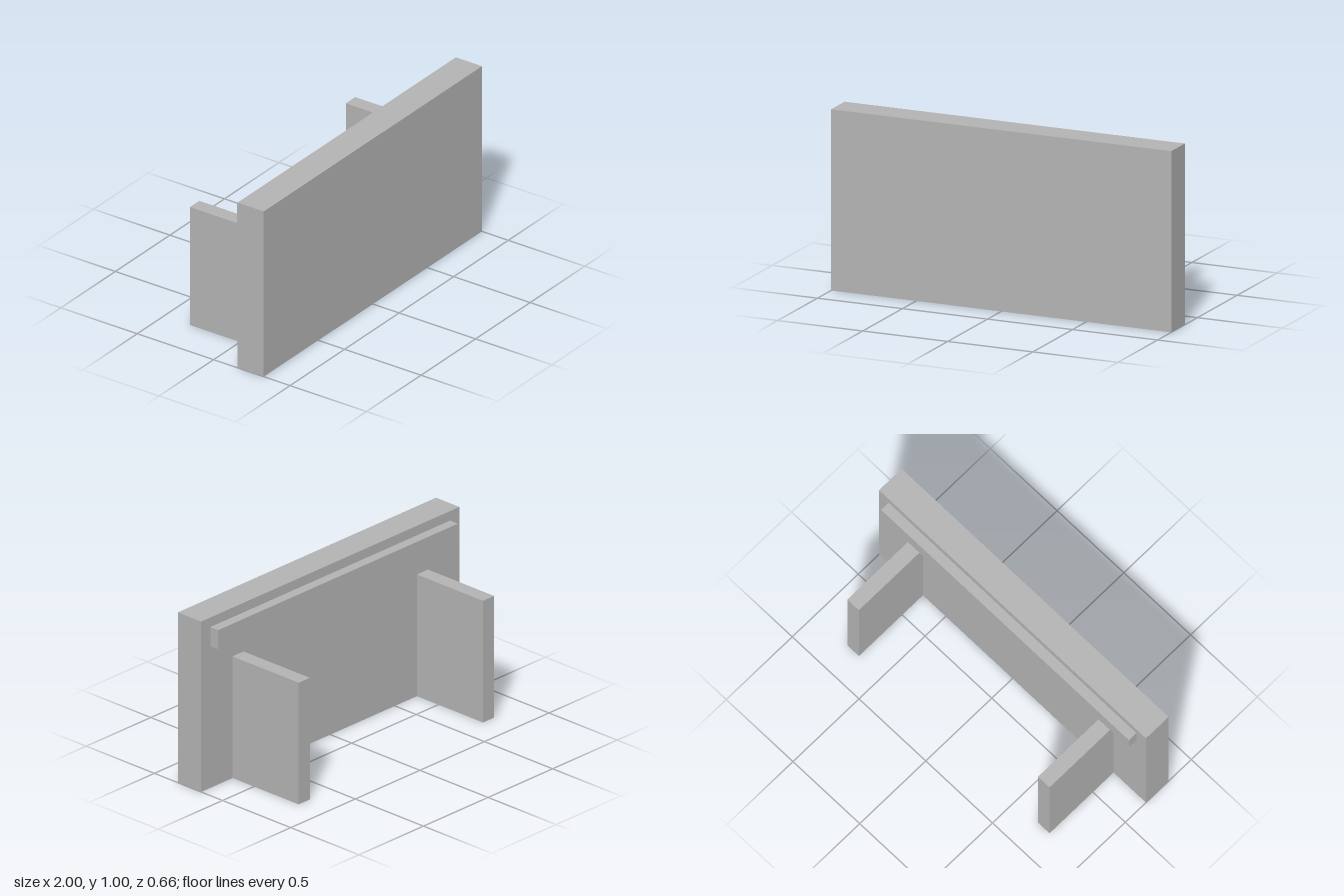
import * as THREE from 'three';

export function createModel() {
  const group = new THREE.Group();
  const grey = new THREE.MeshStandardMaterial({ color: 0xb3b3b3 });
  grey.name = 'plainGrey';

  // Box given by its minimum and maximum corners
  const addBox = (name, [x0, y0, z0], [x1, y1, z1]) => {
    const mesh = new THREE.Mesh(new THREE.BoxGeometry(x1 - x0, y1 - y0, z1 - z0), grey);
    mesh.position.set((x0 + x1) / 2, (y0 + y1) / 2, (z0 + z1) / 2);
    mesh.name = name;
    group.add(mesh);
  };

  // Thick upright front panel
  addBox('frontPanel', [-1, 0, 0.157], [1, 1, 0.328]);

  // Rail along the top of the panel's back
  addBox('backRail', [-0.928, 0.83, 0.1], [0.928, 0.944, 0.157]);

  // Pair of upright supports behind the panel
  for (const [name, x] of [['leftSupport', 0.714], ['rightSupport', -0.714]]) {
    addBox(name, [x - 0.043, 0, -0.328], [x + 0.043, 0.714, 0.157]);
  }

  return group;
}
